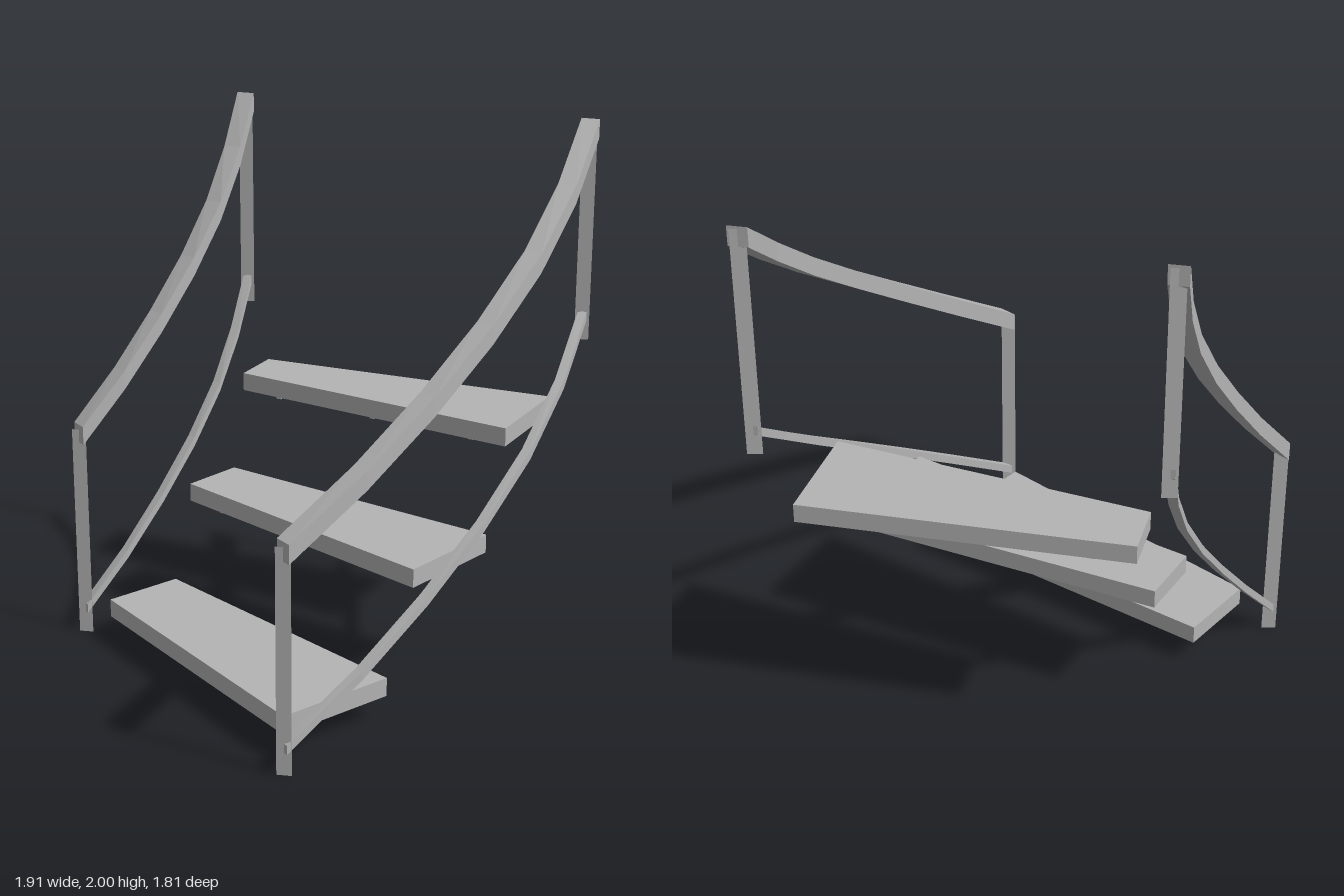
import * as THREE from 'three';

const grey = new THREE.MeshStandardMaterial({ color: 0xb4b4b4 });
grey.name = 'grey';
grey.side = THREE.DoubleSide; // the posts are flat plates

// Join four-cornered sections (left low, right low, right high, left high) into a closed flat-faced bar
function loft(sections) {
  const pos = [];
  const quad = (a, b, c, d) => [a, b, c, a, c, d].forEach((p) => pos.push(...p));
  for (let i = 0; i < sections.length - 1; i++) {
    const s = sections[i], t = sections[i + 1];
    for (let j = 0; j < 4; j++) {
      const k = (j + 1) % 4;
      quad(s[j], t[j], t[k], s[k]);
    }
  }
  quad(...sections[0]);
  quad(...[...sections[sections.length - 1]].reverse());
  const g = new THREE.BufferGeometry();
  g.setAttribute('position', new THREE.Float32BufferAttribute(pos, 3));
  g.computeVertexNormals();
  return g;
}

const section = ([ax, az], [bx, bz], y0, y1) => [[ax, y0, az], [bx, y0, bz], [bx, y1, bz], [ax, y1, az]];

// Plumb-sided bar along a plan path of [x, z]; its underside climbs by rise at each point
function bar(path, width, y0, height, rise = 0) {
  return loft(path.map(([x, z], i) => {
    const p = path[Math.max(i - 1, 0)], q = path[Math.min(i + 1, path.length - 1)];
    const dx = q[0] - p[0], dz = q[1] - p[1];
    const h = width / 2 / Math.hypot(dx, dz);
    const y = y0 + i * rise;
    return section([x + dz * h, z - dx * h], [x - dz * h, z + dx * h], y, y + height);
  }));
}

const mix = (a, b, t) => [a[0] + (b[0] - a[0]) * t, a[1] + (b[1] - a[1]) * t];

export function createModel() {
  const model = new THREE.Group();
  model.name = 'curvedStair';
  const add = (name, geometry) => {
    const m = new THREE.Mesh(geometry, grey);
    m.name = name;
    model.add(m);
    return m;
  };

  // Wedge treads: inner back, inner front, outer front, outer back
  const treads = [
    [[-0.62, -0.31], [-0.82, -0.07], [0.03, 0.76], [0.335, 0.405]],
    [[-0.44, -0.59], [-0.57, -0.38], [0.41, 0.30], [0.63, -0.07]],
    [[-0.35, -0.85], [-0.41, -0.65], [0.68, -0.18], [0.81, -0.58]],
  ];
  treads.forEach(([ib, inf, of, ob], i) => {
    const y = 0.09 + i * 0.381;
    add('tread', loft([section(ib, inf, y, y + 0.071), section(ob, of, y, y + 0.071)]));
    // Thin battens under each tread
    for (const u of [0.135, 0.5, 0.865]) {
      const front = mix(inf, of, u), back = mix(ib, ob, u);
      add('batten', bar([mix(front, back, 0.07), mix(front, back, 0.93)], 0.02, y - 0.013, 0.013));
    }
  });

  // Curved railings, from the foot of the stair to the top
  const paths = {
    inner: [[-0.932, -0.107], [-0.8, -0.235], [-0.69, -0.375], [-0.595, -0.515],
      [-0.52, -0.645], [-0.472, -0.775], [-0.444, -0.9]],
    outer: [[0.055, 0.878], [0.275, 0.655], [0.465, 0.42], [0.63, 0.175],
      [0.765, -0.08], [0.86, -0.34], [0.92, -0.61]],
  };
  for (const [side, path] of Object.entries(paths)) {
    add(side + 'Handrail', bar(path, 0.07, 0.788, 0.072, 0.19));
    add(side + 'LowerRail', bar(path, 0.035, 0.085, 0.035, 0.19));
    // Flat posts at both ends
    [[path[0], 0], [path[6], 1.15]].forEach(([[x, z], y]) => {
      const post = add(side + 'Post', new THREE.PlaneGeometry(0.054, 0.84));
      post.position.set(x, y + 0.42, z);
    });
  }
  return model;
}
